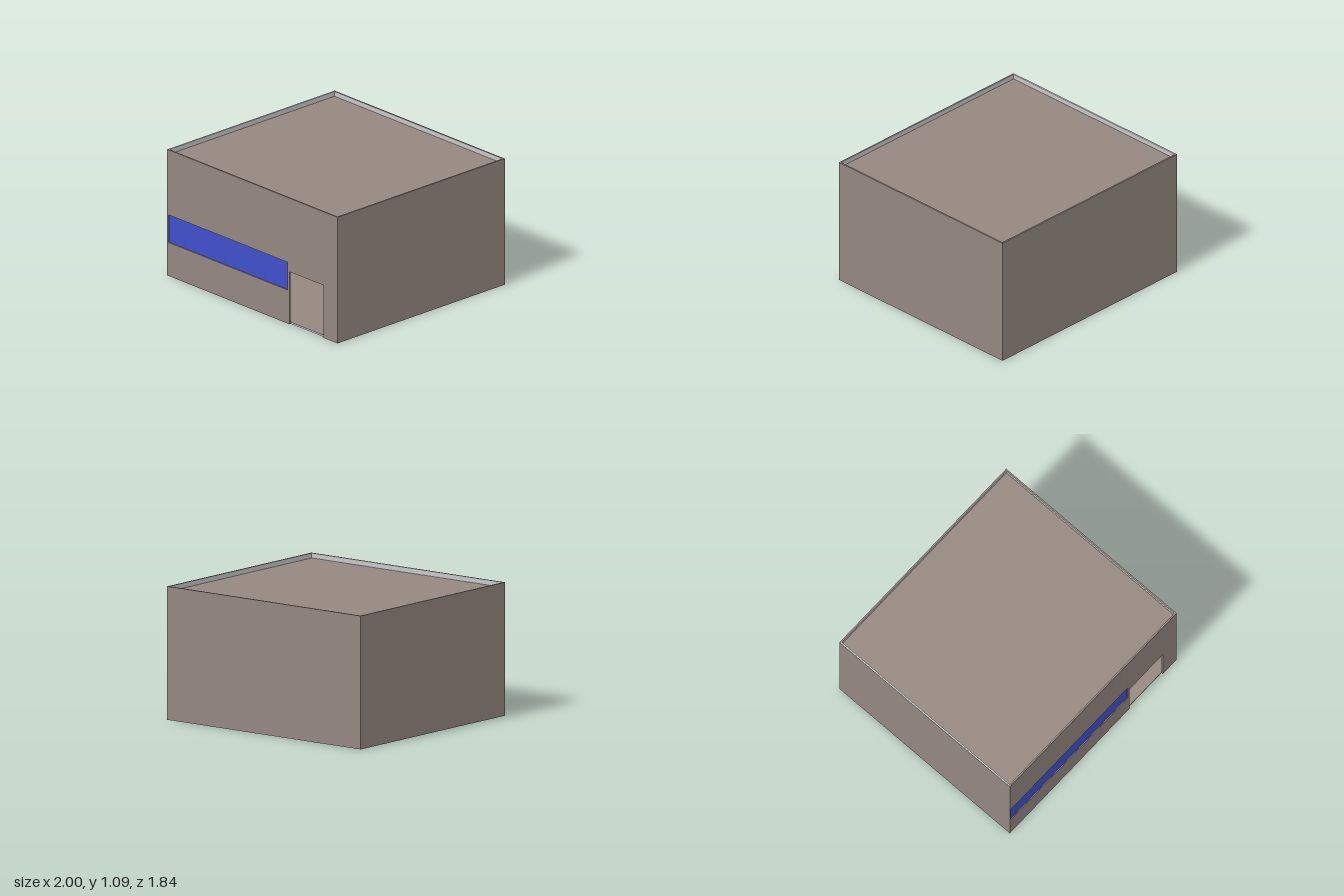
import * as THREE from 'three';

const W = 1, D = 0.922, H = 1.092, T = 0.014; // half width, half depth, height, wall thickness

export function createModel() {
  const model = new THREE.Group();
  model.name = 'building';

  const mat = (name, color) => {
    const m = new THREE.MeshStandardMaterial({ color });
    m.name = name;
    return m;
  };
  const brown = mat('brown cladding', 0x94877f);
  const grey = mat('light grey lining', 0xc8c8c8);
  const blue = mat('blue glazing', 0x4050cc);

  const add = (name, geometry, material, x, y, z) => {
    const mesh = new THREE.Mesh(geometry, material);
    mesh.name = name;
    mesh.position.set(x, y, z);
    model.add(mesh);
    return mesh;
  };
  // Box whose listed faces (px nx py ny pz nz) are brown, the rest grey
  const panel = (name, size, pos, brownFaces) => {
    const faces = ['px', 'nx', 'py', 'ny', 'pz', 'nz'];
    const mats = faces.map((f) => (brownFaces.includes(f) ? brown : grey));
    return add(name, new THREE.BoxGeometry(...size), mats, ...pos);
  };

  // Floor slab and sunken roof
  const inW = 2 * (W - T), inD = 2 * (D - T);
  panel('floor', [inW, 0.015, inD], [0, 0.0075, 0], ['py']);
  panel('roof', [inW, 0.015, inD], [0, 1.044, 0], ['py']);

  // Plain walls, clad outside and lined inside
  panel('backWall', [2 * W, H, T], [0, H / 2, -D + T / 2], ['nz', 'px', 'nx', 'py']);
  panel('leftWall', [T, H, inD], [W - T / 2, H / 2, 0], ['px', 'py']);
  panel('rightWall', [T, H, inD], [-W + T / 2, H / 2, 0], ['nx']);

  // Front wall outline with a doorway notch and a strip window hole
  const wall = new THREE.Shape([
    [-W, 0], [0.435, 0], [0.435, 0.455], [0.835, 0.455], [0.835, 0], [W, 0], [W, H], [-W, H],
  ].map(([x, y]) => new THREE.Vector2(x, y)));
  const win = { x0: -0.985, x1: 0.415, y0: 0.29, y1: 0.53 };
  wall.holes.push(new THREE.Path([
    [win.x0, win.y0], [win.x0, win.y1], [win.x1, win.y1], [win.x1, win.y0],
  ].map(([x, y]) => new THREE.Vector2(x, y))));
  const layer = (depth) => new THREE.ExtrudeGeometry(wall, { depth, bevelEnabled: false });
  add('frontWall', layer(T - 0.001), brown, 0, 0, D - T + 0.001);
  add('frontWallLining', layer(0.001), grey, 0, 0, D - T);

  // Strip window set back in its opening
  add('window', new THREE.BoxGeometry(win.x1 - win.x0, win.y1 - win.y0, 0.004), blue,
    (win.x0 + win.x1) / 2, (win.y0 + win.y1) / 2, D - T + 0.004);

  // Interior partition glimpsed through the doorway
  add('partition', new THREE.BoxGeometry(0.004, 1.02, 0.9), grey, 0.515, 0.525, -0.455);

  return model;
}
